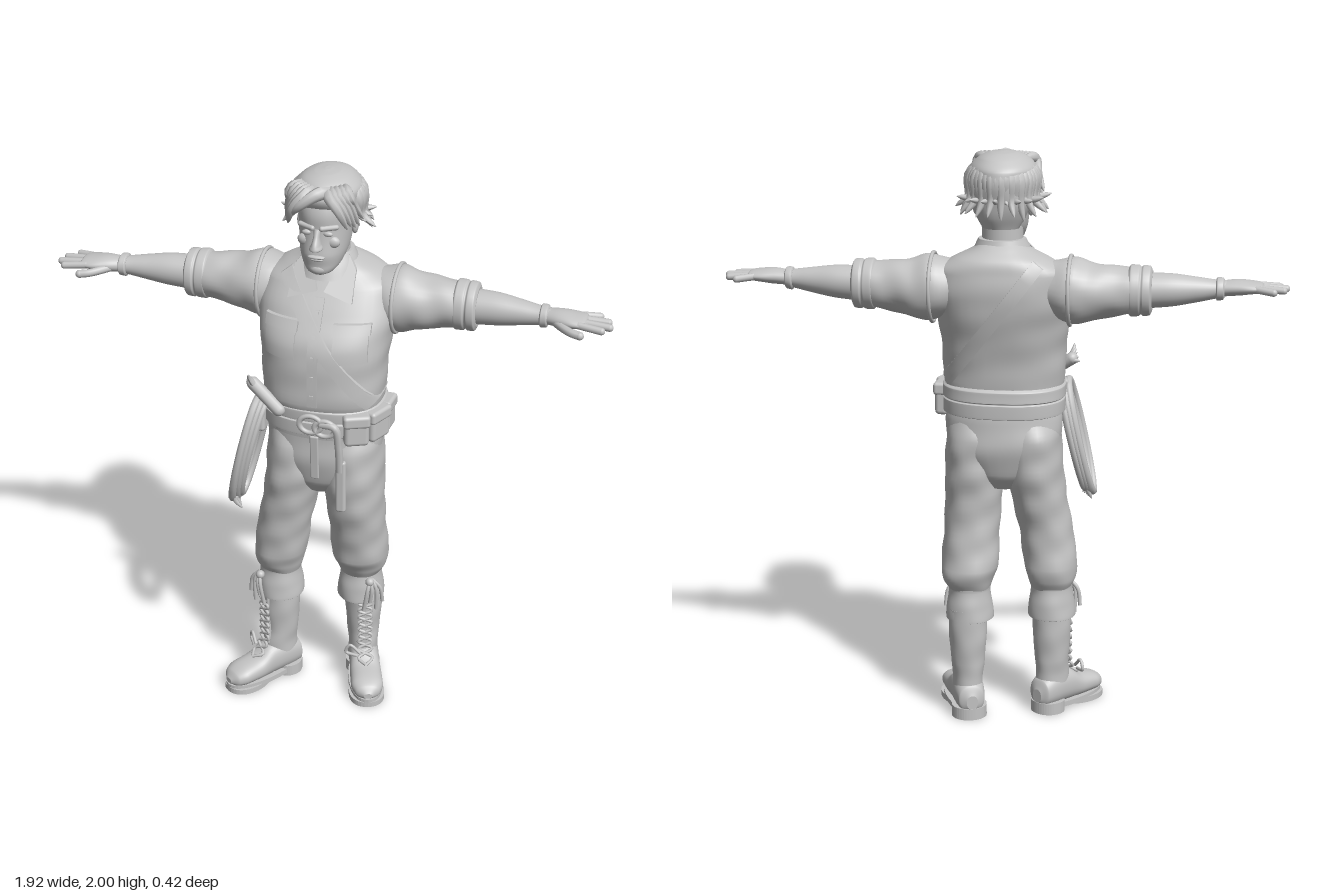
import * as THREE from 'three';
import { RoundedBoxGeometry } from 'three/addons/geometries/RoundedBoxGeometry.js';

const V = (x, y, z) => new THREE.Vector3(x, y, z);

// Smooth interpolation of cross-sections [along, c1, c2, r1, r2] without overshoot
function at(s, t) {
  let i = 0;
  while (i < s.length - 2 && t > s[i + 1][0]) i++;
  const slope = (j, k) => (s[j + 1][k] - s[j][k]) / (s[j + 1][0] - s[j][0]);
  const tangent = (j, k) => {
    if (j === 0) return slope(0, k);
    if (j === s.length - 1) return slope(j - 1, k);
    const a = slope(j - 1, k), b = slope(j, k);
    return a * b <= 0 ? 0 : 2 * a * b / (a + b);
  };
  const h = s[i + 1][0] - s[i][0], u = THREE.MathUtils.clamp((t - s[i][0]) / h, 0, 1), u2 = u * u, u3 = u2 * u;
  return [1, 2, 3, 4].map(k => (2 * u3 - 3 * u2 + 1) * s[i][k] + (u3 - 2 * u2 + u) * h * tangent(i, k)
    + (3 * u2 - 2 * u3) * s[i + 1][k] + (u3 - u2) * h * tangent(i + 1, k));
}

// Closed solid through superelliptic sections, along y or x, with optional cloth folds
function loft(s, { axis = 'y', p = 2, fold = 0, n = 40, steps = 6 } = {}) {
  const pos = [], idx = [], ts = [];
  for (let i = 0; i < s.length - 1; i++)
    for (let k = 0; k < steps; k++) ts.push(s[i][0] + (s[i + 1][0] - s[i][0]) * k / steps);
  ts.push(s[s.length - 1][0]);
  const put = (t, a, b) => axis === 'y' ? pos.push(a, t, b) : pos.push(t, a, -b);
  const sgn = axis === 'y' ? 1 : -1;
  const pw = v => Math.sign(v) * Math.pow(Math.abs(v), 2 / p);
  for (const t of ts) {
    const [c1, c2, r1, r2] = at(s, t);
    for (let j = 0; j < n; j++) {
      const a = j / n * Math.PI * 2;
      const f = 1 + fold * (Math.sin(2 * a + t * 55) + 0.6 * Math.sin(5 * a - t * 38));
      put(t, c1 + r1 * f * pw(Math.cos(a)), sgn * c2 + r2 * f * pw(Math.sin(a)));
    }
  }
  const rows = ts.length;
  for (let i = 0; i < rows - 1; i++) for (let j = 0; j < n; j++) {
    const a = i * n + j, b = i * n + (j + 1) % n;
    idx.push(a, a + n, b, b, a + n, b + n);
  }
  for (const [row, flip] of [[0, false], [rows - 1, true]]) {
    const c = at(s, ts[row]), base = pos.length / 3;
    for (let j = 0; j < n; j++) pos.push(...pos.slice((row * n + j) * 3, (row * n + j) * 3 + 3));
    put(ts[row], c[0], sgn * c[1]);
    for (let j = 0; j < n; j++) {
      const a = base + j, b = base + (j + 1) % n;
      flip ? idx.push(base + n, b, a) : idx.push(base + n, a, b);
    }
  }
  const g = new THREE.BufferGeometry();
  g.setAttribute('position', new THREE.Float32BufferAttribute(pos, 3));
  g.setIndex(idx);
  g.computeVertexNormals();
  return g;
}

const tube = (pts, r, closed = false, n = 32) => new THREE.TubeGeometry(new THREE.CatmullRomCurve3(pts, closed), n, r, 8, closed);

// Tube that swells and then runs out to a point
function lock(pts, r) {
  const n = 14, m = 8, curve = new THREE.CatmullRomCurve3(pts), g = new THREE.TubeGeometry(curve, n, r, m), P = g.attributes.position;
  for (let i = 0; i <= n; i++) {
    const c = curve.getPointAt(i / n), k = Math.sqrt(Math.max(0.002, 1 - i / n)) * Math.min(1, 0.2 + i / 5);
    for (let j = 0; j <= m; j++) {
      const q = i * (m + 1) + j, v = V().fromBufferAttribute(P, q).sub(c).multiplyScalar(k).add(c);
      P.setXYZ(q, v.x, v.y, v.z);
    }
  }
  g.computeVertexNormals();
  return g;
}

function limb(a, b, r) {
  const d = b.clone().sub(a), g = new THREE.CapsuleGeometry(r, d.length(), 6, 12);
  g.applyQuaternion(new THREE.Quaternion().setFromUnitVectors(V(0, 1, 0), d.clone().normalize()));
  return g.translate(...a.clone().add(b).multiplyScalar(0.5).toArray());
}

function mirror(g) {
  g = g.clone().scale(-1, 1, 1);
  const I = g.index.array;
  for (let i = 0; i < I.length; i += 3) [I[i], I[i + 1]] = [I[i + 1], I[i]];
  return g;
}

const TORSO = [[1.08, 0, 0, .19, .145], [1.16, 0, .005, .195, .15], [1.22, 0, .012, .208, .16], [1.32, 0, .005, .212, .167],
  [1.42, 0, -.01, .222, .175], [1.52, 0, -.045, .235, .157], [1.60, 0, -.07, .225, .127], [1.645, 0, -.08, .165, .108],
  [1.68, 0, -.07, .095, .085], [1.7, 0, -.06, .07, .07]];

// Thin plate wrapped on the chest (side 1) or back (side -1)
function panel(w, h, d, x, y, turn = 0, side = 1) {
  const g = new THREE.BoxGeometry(w, h, d, 16, 16, 1).rotateZ(turn).translate(x, y, 0), P = g.attributes.position;
  for (let i = 0; i < P.count; i++) {
    const [, cz, rx, rz] = at(TORSO, P.getY(i)), k = Math.min(1, Math.abs(P.getX(i)) / rx);
    P.setZ(i, P.getZ(i) + cz + side * rz * Math.pow(1 - Math.pow(k, 2.4), 1 / 2.4));
  }
  g.computeVertexNormals();
  return g;
}

export function createModel() {
  const root = new THREE.Group();
  const grey = new THREE.MeshStandardMaterial({ color: 0xc4c4c4 });
  grey.name = 'stone grey';
  const add = (name, g, parent = root) => {
    const m = new THREE.Mesh(g, grey);
    m.name = name;
    parent.add(m);
    return m;
  };
  const pair = (name, g) => { add(name + 'Left', g); add(name + 'Right', mirror(g)); };
  let seed = 7;
  const rnd = () => (seed = (seed * 16807) % 2147483647) / 2147483647;

  // Shirt with placket, pockets, seams and shoulder strap
  add('shirt', loft(TORSO, { p: 2.4, fold: .006 }));
  add('placket', panel(.035, .36, .012, 0, 1.4));
  for (let i = 0; i < 5; i++) add('button', panel(.012, .012, .022, 0, 1.26 + i * .07));
  pair('pocket', panel(.11, .11, .016, .12, 1.44));
  pair('pocketFlap', panel(.12, .035, .028, .12, 1.495));
  pair('armholeSeam', new THREE.TorusGeometry(.116, .007, 8, 40).rotateY(Math.PI / 2).translate(.232, 1.54, -.075));
  const tilt = Math.atan(-1.3);
  add('strapFront', panel(.53, .045, .022, .03, 1.43, tilt));
  add('strapBack', panel(.53, .045, .022, .03, 1.43, tilt, -1));

  // Collar: band round the neck and two pointed flaps
  add('collarBand', loft([[1.63, 0, -.05, .11, .105], [1.67, 0, -.055, .098, .09], [1.71, 0, -.06, .08, .072]], { n: 32 }));
  const flap = new THREE.Shape([[.012, 1.6], [.03, 1.64], [.075, 1.7], [.105, 1.66], [.11, 1.57]].map(q => new THREE.Vector2(...q)));
  for (const s of [1, -1]) {
    const g = new THREE.ExtrudeGeometry(flap, { depth: .014, bevelEnabled: false }), P = g.attributes.position;
    for (let i = 0; i < P.count; i++) P.setZ(i, P.getZ(i) + .085 - (P.getY(i) - 1.57) * .85 - P.getX(i) * .15);
    g.setIndex([...Array(P.count).keys()]);
    g.computeVertexNormals();
    add('collarFlap', s > 0 ? g : mirror(g));
  }

  // Arms: sleeve, rolled cuff, forearm, wristband, hand
  const X = { axis: 'x', n: 32 };
  pair('sleeve', loft([[.15, 1.55, -.08, .085, .085], [.24, 1.54, -.078, .112, .112], [.30, 1.538, -.077, .1, .1],
    [.38, 1.542, -.075, .085, .085], [.45, 1.545, -.074, .078, .076]], { ...X, fold: .02 }));
  pair('rolledCuff', loft([[.425, 1.545, -.074, .076, .072], [.435, 1.545, -.074, .087, .08], [.46, 1.545, -.073, .086, .079],
    [.468, 1.545, -.073, .08, .075], [.476, 1.545, -.072, .085, .079], [.497, 1.545, -.071, .083, .077], [.505, 1.545, -.07, .068, .064]], X));
  pair('forearm', loft([[.48, 1.545, -.07, .06, .06], [.56, 1.548, -.066, .056, .056], [.65, 1.55, -.058, .043, .044],
    [.72, 1.552, -.05, .031, .035], [.75, 1.555, -.046, .027, .034]], X));
  pair('wristband', loft([[.715, 1.552, -.05, .033, .037], [.72, 1.552, -.05, .039, .043], [.738, 1.553, -.048, .037, .042],
    [.743, 1.553, -.047, .03, .035]], X));
  pair('palm', loft([[.735, 1.554, -.047, .026, .034], [.78, 1.557, -.04, .027, .045], [.83, 1.558, -.036, .022, .053],
    [.865, 1.558, -.035, .016, .05], [.875, 1.558, -.035, .006, .03]], X));
  [[-.075, -.092, .905], [-.049, -.056, .938], [-.022, -.018, .947], [.004, .014, .925]].forEach(([z0, z1, x]) =>
    pair('finger', limb(V(.85, 1.558, z0), V(x, 1.552, z1), .0125)));
  pair('thumb', tube([V(.765, 1.55, -.02), V(.8, 1.547, .014), V(.83, 1.543, .033), V(.86, 1.54, .042)], .014));
  pair('thumbTip', new THREE.SphereGeometry(.014, 12, 8).translate(.86, 1.54, .042));

  // Head and face
  add('neck', loft([[1.6, 0, -.06, .085, .08], [1.67, 0, -.045, .07, .07], [1.78, 0, -.045, .068, .07]]));
  add('head', loft([[1.672, 0, .065, .025, .03], [1.682, 0, .055, .045, .053], [1.71, 0, .03, .066, .082], [1.75, 0, .005, .079, .112],
    [1.80, 0, -.01, .085, .12], [1.83, 0, -.015, .087, .123], [1.88, 0, -.02, .09, .13], [1.93, 0, -.025, .084, .12], [1.97, 0, -.03, .04, .06]], { p: 2.2 }));
  add('nose', loft([[1.766, 0, .115, .012, .012], [1.776, 0, .118, .022, .03], [1.79, 0, .116, .016, .028], [1.815, 0, .108, .011, .018], [1.838, 0, .1, .012, .013]], { n: 20 }));
  add('mouth', new THREE.SphereGeometry(.03, 16, 10).scale(1, .22, .4).translate(0, 1.744, .116));
  add('lowerLip', new THREE.SphereGeometry(.024, 16, 10).scale(1, .28, .45).translate(0, 1.733, .109));
  add('chin', new THREE.SphereGeometry(.03, 16, 12).scale(1, .7, .7).translate(0, 1.695, .094));
  pair('eye', new THREE.SphereGeometry(.016, 14, 10).scale(1, .55, .5).translate(.036, 1.823, .102));
  pair('brow', limb(V(.016, 1.842, .108), V(.06, 1.845, .09), .009));
  pair('cheek', new THREE.SphereGeometry(.026, 14, 10).scale(1, .8, .6).translate(.046, 1.79, .085));
  pair('ear', new THREE.SphereGeometry(.03, 14, 10).scale(.4, 1, .65).translate(.092, 1.81, -.025));

  // Hair: cap, outward-flicked locks and a parted fringe
  add('hairCap', loft([[1.75, 0, -.09, .06, .05], [1.79, 0, -.082, .085, .075], [1.85, 0, -.068, .108, .105], [1.9, 0, -.04, .116, .138],
    [1.94, 0, -.03, .112, .145], [1.975, 0, -.03, .083, .11], [1.993, 0, -.03, .045, .06], [1.998, 0, -.03, .01, .015]], { fold: .015 }));
  for (let i = 0; i < 26; i++) {
    const a = -.25 + (Math.PI + .5) * i / 25, c = Math.cos(a), s = -Math.sin(a), e = rnd() * .03, low = i % 2 ? 1.78 : 1.83;
    add('hairLock', lock([V(c * .05, 1.965, -.04 + s * .07), V(c * .108, 1.92, -.035 + s * .125), V(c * .112, 1.85, -.045 + s * .118),
      V(c * (.135 + e), low + e, -.045 + s * (.125 + e))], .026));
  }
  for (let i = 0; i < 5; i++) pair('fringe', lock([V(.015 + i * .012, 1.965, .05 - i * .01), V(.04 + i * .014, 1.955, .11 - i * .008),
    V(.075 + i * .008, 1.915, .125 - i * .018), V(.1 + i * .008, 1.865 - rnd() * .03, .1 - i * .02)], .024));
  add('forelock', lock([V(.05, 1.965, .06), V(.0, 1.96, .115), V(-.05, 1.925, .135), V(-.09, 1.88, .115)], .027));

  // Trousers
  add('trouserSeat', loft([[.84, -.005, -.005, .06, .09], [.9, 0, -.005, .14, .13], [1.0, 0, -.008, .198, .152], [1.08, 0, -.005, .2, .148], [1.14, 0, 0, .19, .145]], { p: 2.3, fold: .006 }));
  add('trouserFly', new RoundedBoxGeometry(.03, .17, .012, 2, .005).rotateX(.06).translate(0, 1.01, .144));
  const cloth = { fold: .016, p: 2.2 };
  add('trouserLegLeft', loft([[.465, .115, -.055, .07, .075], [.5, .12, -.055, .086, .095], [.55, .115, -.045, .1, .112], [.66, .112, -.025, .096, .115],
    [.8, .106, -.005, .099, .132], [.92, .103, -.005, .1, .146], [1.02, .1, -.008, .098, .146], [1.1, .09, -.005, .09, .12]], cloth));
  add('trouserLegRight', loft([[.465, -.165, 0, .07, .075], [.5, -.168, 0, .083, .094], [.55, -.163, .003, .093, .104], [.66, -.148, .01, .093, .108],
    [.8, -.121, .004, .095, .128], [.92, -.104, -.002, .1, .146], [1.02, -.1, -.008, .098, .146], [1.1, -.09, -.005, .09, .12]], cloth));

  // Boots, built with the toe along local +x and turned outward
  const sole = (x0, x1, w0, w1, h) => {
    const sh = new THREE.Shape().moveTo(x0, 0).bezierCurveTo(x0, w0 * 1.3, x1, w1 * 1.5, x1, 0).bezierCurveTo(x1, -w1 * 1.5, x0, -w0 * 1.3, x0, 0);
    return new THREE.ExtrudeGeometry(sh, { depth: h, bevelEnabled: false, curveSegments: 20 }).rotateX(-Math.PI / 2);
  };
  for (const [side, x, z, turn] of [['Left', .12, -.078, .34], ['Right', -.17, 0, -.66]]) {
    const boot = new THREE.Group();
    boot.name = 'boot' + side;
    boot.position.set(x, 0, z);
    boot.rotation.y = turn - Math.PI / 2;
    root.add(boot);
    add('sole', sole(-.078, .238, .05, .064, .018).translate(0, .014, 0), boot);
    add('toeSole', sole(.06, .238, .055, .066, .02), boot);
    add('heel', sole(-.078, .035, .06, .058, .042), boot);
    add('foot', loft([[-.076, .065, 0, .025, .02], [-.06, .075, 0, .05, .046], [0, .085, 0, .065, .055], [.06, .08, 0, .062, .054], [.12, .063, 0, .043, .057],
      [.18, .058, 0, .036, .058], [.215, .052, 0, .028, .045], [.236, .046, 0, .01, .015]], { axis: 'x', p: 2.3 }), boot);
    add('shaft', loft([[.06, 0, 0, .068, .052], [.14, .004, 0, .064, .053], [.2, -.002, 0, .062, .058], [.3, -.002, 0, .068, .066], [.4, 0, 0, .068, .068]], { fold: .012 }), boot);
    add('tongue', new RoundedBoxGeometry(.02, .22, .035, 2, .008).translate(.06, .25, 0), boot);
    for (const s of [1, -1]) {
      const pts = [V(.13, .108, 0)];
      for (let i = 0; i < 9; i++) pts.push(V([.1, .082][i] ?? .073, .12 + i * .027, (i % 2 ? s : -s) * .025));
      add('lace', tube(pts, .0055, false, 60), boot);
    }
    add('bow', tube([V(.1, .14, .02), V(.09, .17, .055), V(.085, .14, .07), V(.1, .13, .03)], .006), boot);
    const out = side === 'Left' ? 1 : -1, cx = side === 'Left' ? .115 : -.168, cz = side === 'Left' ? -.058 : 0;
    add('bootCuff' + side, loft([[.355, cx, cz, .072, .075], [.36, cx, cz, .083, .09], [.41, cx, cz, .08, .086], [.465, cx, cz, .073, .078], [.485, cx, cz, .075, .08], [.492, cx, cz, .066, .068]], { fold: .012 }));
    // Hanging ties at the outer front of each cuff
    for (let i = 0; i < 4; i++) add('cuffTie', tube([V(cx + out * .055, .465, cz + .07), V(cx + out * (.05 + i * .012), .43, cz + .095 - i * .01),
      V(cx + out * (.035 + i * .02), .34 + (i % 2) * .03, cz + .095 - i * .012)], .007, false, 14));
    add('tieKnot', new THREE.SphereGeometry(.016, 12, 8).translate(cx + out * .053, .455, cz + .08));
  }

  // Belt, buckle rings, hanging tail and pouches
  add('belt', loft([[1.1, 0, .003, .198, .152], [1.105, 0, .003, .21, .162], [1.15, 0, .003, .211, .163], [1.155, 0, .003, .206, .158], [1.16, 0, .004, .212, .165],
    [1.195, 0, .006, .212, .165], [1.205, 0, .006, .2, .155]], { p: 2.4 }));
  for (const [x, y, r] of [[-.005, 1.155, .035], [.045, 1.145, .032]])
    add('buckleRing', new THREE.TorusGeometry(r, .009, 10, 28).scale(1.1, .9, 1).translate(x, y, .178));
  add('beltTail', tube([V(.03, 1.16, .175), V(.08, 1.155, .18), V(.092, 1.08, .172), V(.094, .98, .162)], .014));
  add('tailStrap', new RoundedBoxGeometry(.036, .2, .022, 3, .01).translate(.097, .92, .16));
  [[.145, .142, .4, .085], [.2, .075, 1.15, .095], [.212, -.005, 1.5, .08]].forEach(([x, z, turn, w]) => {
    add('pouch', new RoundedBoxGeometry(w, .105, .045, 3, .015).rotateY(turn).translate(x, 1.135, z));
    add('pouchFlap', new RoundedBoxGeometry(w + .008, .045, .055, 3, .012).rotateY(turn).translate(x, 1.175, z));
  });

  // Coiled rope on the right hip with its frayed handle
  for (let k = 0; k < 3; k++) {
    const pts = [];
    for (let i = 0; i < 16; i++) {
      const a = i / 16 * Math.PI * 2, c = Math.cos(a);
      pts.push(V(-.232 - k * .012 + c * .045, .985 + c * (.185 + k * .008), .09 + k * .008 + Math.sin(a) * (.075 + k * .006)));
    }
    add('ropeCoil', tube(pts, .014, true, 60));
  }
  for (let i = 0; i < 6; i++) add('ropeFray', lock([V(-.275, .83, .06 + i * .015), V(-.285, .8, .065 + i * .017), V(-.3 + i * .008, .765, .07 + i * .015)], .012));
  add('hangerLoop', new RoundedBoxGeometry(.03, .13, .06, 3, .012).translate(-.2, 1.13, .09));
  add('handle', limb(V(-.22, 1.255, .125), V(-.12, 1.185, .16), .022));
  for (let i = 0; i < 5; i++) add('handleFray', lock([V(-.205, 1.24, .13), V(-.225, 1.25 + i * .008, .115 + i * .008), V(-.25 + i * .006, 1.25 + i * .013, .11 + i * .012)], .014));

  return root;
}
